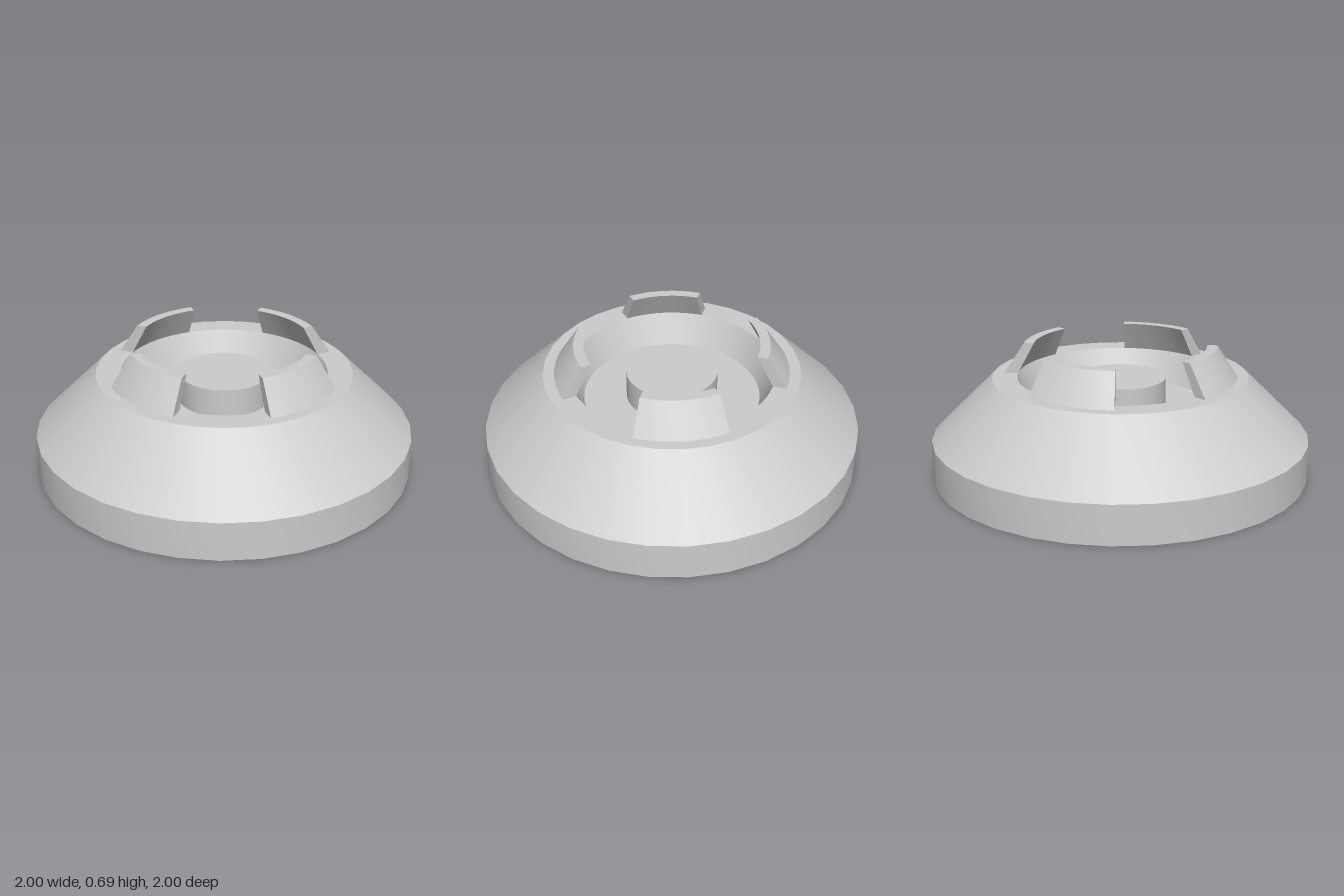
import * as THREE from 'three';
import { toCreasedNormals } from 'three/addons/utils/BufferGeometryUtils.js';

const material = new THREE.MeshStandardMaterial({ color: 0xcccccc, side: THREE.DoubleSide });
const CLIP_HALF_ANGLE = Math.PI / 8;
const TOP = 0.526;
const FLOOR = 0.363;
const BOSS_TOP = 0.514;

function mesh(name, geometry) {
  const m = new THREE.Mesh(geometry, material);
  m.name = name;
  return m;
}

// Thin revolved surface with sharp profile corners
function revolve(name, profile, segments, start = 0, length = Math.PI * 2) {
  const points = profile.map(([r, y]) => new THREE.Vector2(r, y));
  const lathe = new THREE.LatheGeometry(points, segments, start, length);
  return mesh(name, toCreasedNormals(lathe, 0.5));
}

// Hollow leaning clip centred on +z, open underneath
function createClip() {
  const clip = new THREE.Group();
  clip.name = 'clip';
  const profile = [[0.616, TOP], [0.508, 0.69], [0.455, 0.69], [0.543, TOP]];
  clip.add(revolve('clipShell', profile, 8, -CLIP_HALF_ANGLE, 2 * CLIP_HALF_ANGLE));
  const section = new THREE.Shape(profile.map(([r, y]) => new THREE.Vector2(r, y)));
  for (const side of [-1, 1]) {
    const end = mesh('clipEnd', new THREE.ShapeGeometry(section));
    end.rotation.y = side * CLIP_HALF_ANGLE - Math.PI / 2;
    clip.add(end);
  }
  return clip;
}

export function createModel() {
  const model = new THREE.Group();
  model.name = 'conicalCap';

  // Outer skirt, cone and the rim outside the clips
  model.add(revolve('outerShell', [[1, 0], [1, 0.205], [0.675, TOP], [0.616, TOP]], 32));

  // Recessed cup with a raised hollow boss
  model.add(revolve('cup',
    [[0.543, TOP], [0.466, FLOOR], [0.24, FLOOR], [0.24, BOSS_TOP], [0, BOSS_TOP]], 64));

  // Four clips over slots, with rim pieces between them
  for (let i = 0; i < 4; i++) {
    const quarter = new THREE.Group();
    quarter.name = 'clipQuarter';
    quarter.add(createClip());
    quarter.add(revolve('rimBetweenClips', [[0.616, TOP], [0.543, TOP]], 8,
      CLIP_HALF_ANGLE, Math.PI / 2 - 2 * CLIP_HALF_ANGLE));
    quarter.rotation.y = i * Math.PI / 2;
    model.add(quarter);
  }
  return model;
}
